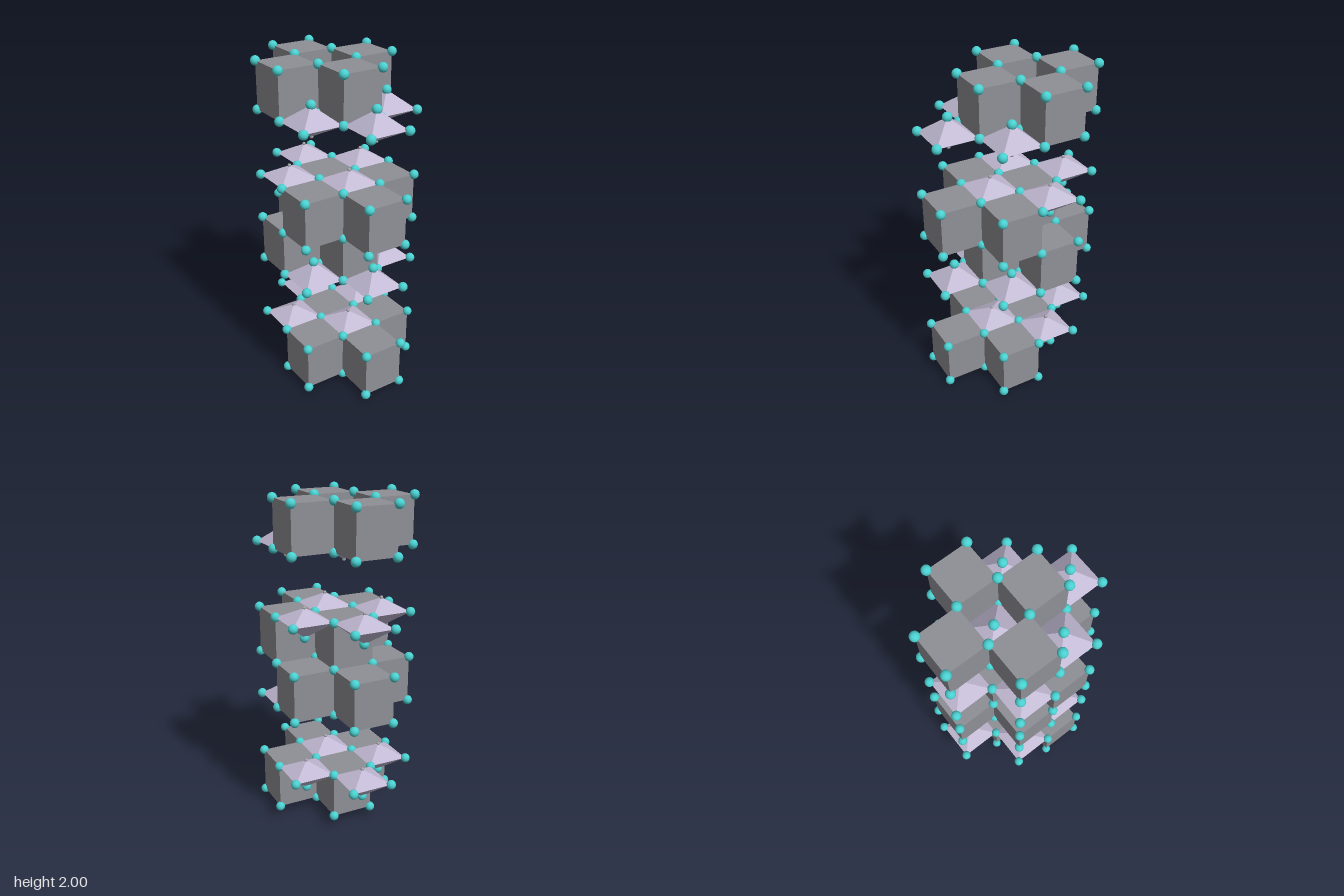
import * as THREE from 'three';

export function createModel() {
  const model = new THREE.Group();
  const prismGrey = new THREE.MeshStandardMaterial({ color: 0x8f9096 });
  const lavender = new THREE.MeshStandardMaterial({ color: 0xc2bad4, flatShading: true });
  const turquoise = new THREE.MeshStandardMaterial({ color: 0x4ad0d0 });
  const paleGrey = new THREE.MeshStandardMaterial({ color: 0xa6a6ab });

  const R = 0.1793;       // half diagonal of each diamond cell
  const H = 0.284;        // layer height
  const LONG = 0.107;     // tall apex, inside the layer
  const SHORT = 0.073;    // low apex, outside the layer

  const prismGeo = new THREE.BoxGeometry(R * Math.SQRT2, H, R * Math.SQRT2).rotateY(Math.PI / 4);
  const longGeo = new THREE.ConeGeometry(R, LONG, 4, 1, true).translate(0, LONG / 2, 0);
  const shortGeo = new THREE.ConeGeometry(R, SHORT, 4, 1, true).translate(0, SHORT / 2, 0).rotateX(Math.PI);
  const bigBall = new THREE.SphereGeometry(0.0285, 24, 16);
  const smallBall = new THREE.SphereGeometry(0.011, 14, 10);

  function add(parent, name, geo, mat, x, y, z) {
    const mesh = new THREE.Mesh(geo, mat);
    mesh.name = name;
    mesh.position.set(x, y, z);
    parent.add(mesh);
    return mesh;
  }

  // Corner balls shared between neighbouring cells are placed once
  const placed = new Set();
  function ball(parent, x, y, z) {
    const key = [x, y, z].map((v) => Math.round(v * 1000)).join();
    if (placed.has(key)) return;
    placed.add(key);
    add(parent, 'cornerBall', bigBall, turquoise, x, y, z);
  }
  function ring(parent, x, y, z) {
    for (const [dx, dz] of [[R, 0], [-R, 0], [0, R], [0, -R]]) ball(parent, x + dx, y, z + dz);
  }

  // Four prisms and four lopsided octahedra; up = 1 puts the octahedra on the top face
  function layer(name, y0, up) {
    const group = new THREE.Group();
    group.name = name;
    const prismAt = up > 0 ? [-0.5 * R, 1.5 * R] : [-1.5 * R, 0.5 * R];
    const octAt = prismAt.map((v) => v - up * R);
    const yBase = up > 0 ? y0 + H : y0;

    for (const x of prismAt) for (const z of prismAt) {
      add(group, 'prism', prismGeo, prismGrey, x, y0 + H / 2, z);
      ring(group, x, y0, z);
      ring(group, x, y0 + H, z);
    }
    for (const x of octAt) for (const z of octAt) {
      const oct = new THREE.Group();
      oct.name = 'octahedron';
      oct.position.set(x, yBase, z);
      if (up > 0) oct.rotation.x = Math.PI;
      add(oct, 'tallPyramid', longGeo, lavender, 0, 0, 0);
      add(oct, 'lowPyramid', shortGeo, lavender, 0, 0, 0);
      add(oct, 'tipBall', smallBall, paleGrey, 0, -SHORT, 0);
      group.add(oct);
      ring(group, x, yBase, z);
      ball(group, x, yBase - up * LONG, z);
    }
    model.add(group);
  }

  layer('bottomLayer', 0.0285, 1);
  layer('lowerMiddleLayer', 1 - H, -1);
  layer('upperMiddleLayer', 1, 1);
  layer('topLayer', 1.9715 - H, -1);
  return model;
}
